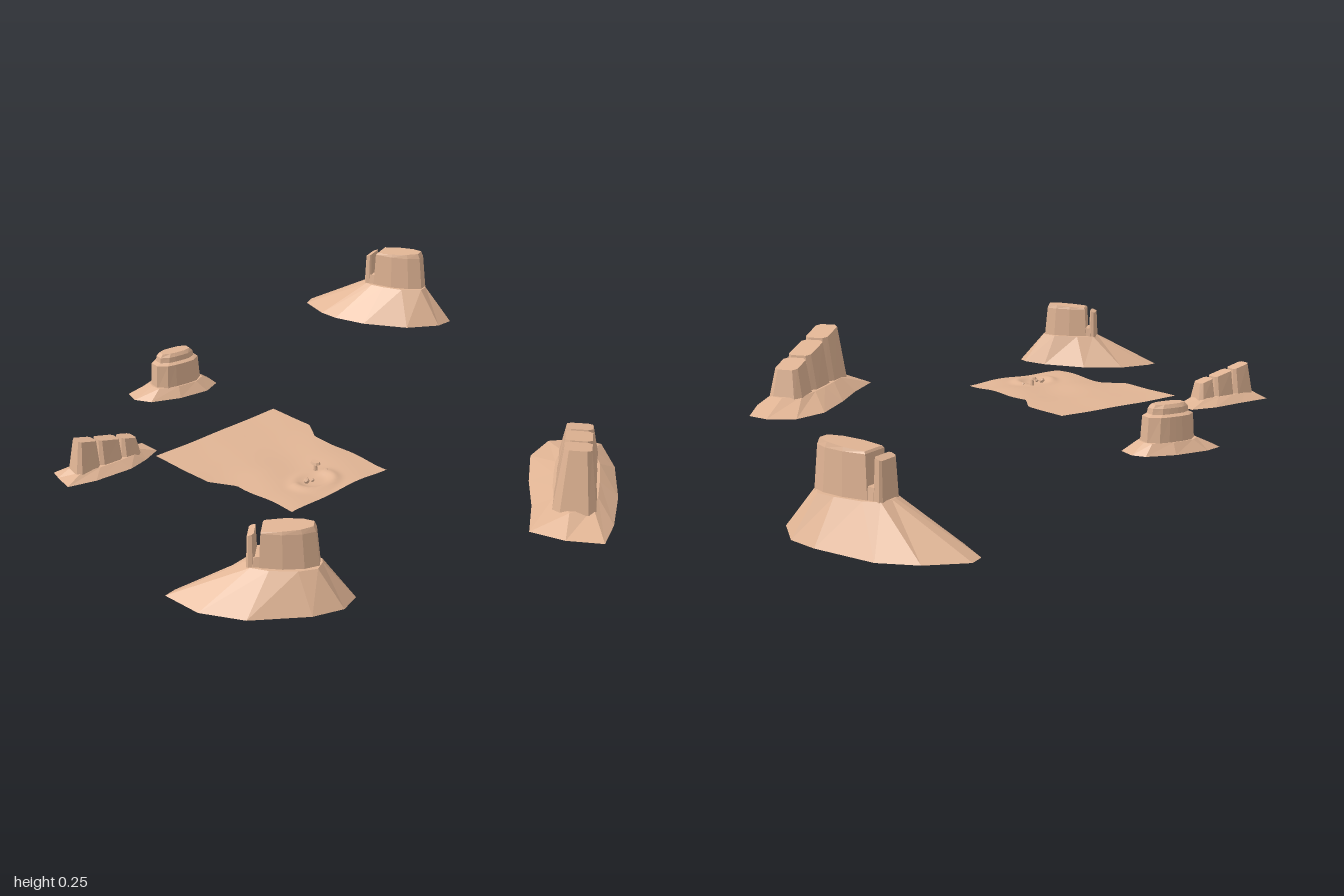
import * as THREE from 'three';

const rock = new THREE.MeshStandardMaterial({ color: 0xe0b494, flatShading: true });
const sand = new THREE.MeshStandardMaterial({ color: 0xe0b494, side: THREE.DoubleSide });

// Closed solid through rings of [x, y, z] points that run from +x towards +z
function loft(name, rings) {
  const pos = [];
  const tri = (a, b, c) => pos.push(...a, ...b, ...c);
  const n = rings[0].length;
  const centre = r => [0, 1, 2].map(k => r.reduce((s, p) => s + p[k], 0) / n);
  const low = centre(rings[0]), top = rings[rings.length - 1], high = centre(top);
  for (let i = 0; i < n; i++) {
    const j = (i + 1) % n;
    for (let k = 0; k + 1 < rings.length; k++) {
      const a = rings[k], b = rings[k + 1];
      tri(a[i], b[i], a[j]);
      tri(a[j], b[i], b[j]);
    }
    tri(low, rings[0][i], rings[0][j]);
    tri(high, top[j], top[i]);
  }
  const g = new THREE.BufferGeometry();
  g.setAttribute('position', new THREE.Float32BufferAttribute(pos, 3));
  g.computeVertexNormals();
  const m = new THREE.Mesh(g, rock);
  m.name = name;
  return m;
}

// Local frame of a butte: u along its ridge, v across, s its scale
function frame(x, z, degrees, s, y0) {
  const c = Math.cos(degrees * Math.PI / 180), d = Math.sin(degrees * Math.PI / 180);
  return {
    at: (u, y, v) => [x + s * (u * c - v * d), y0 + s * y, z + s * (u * d + v * c)],
    angle: ([px, pz]) => Math.atan2(-(px - x) * d + (pz - z) * c, (px - x) * c + (pz - z) * d),
  };
}

// Rounded oblong point at an angle
function oblong(f, t, a, b, y, u0 = 0) {
  const c = Math.cos(t), s = Math.sin(t);
  const r = 1 / Math.pow(Math.abs(c / a) ** 3 + Math.abs(s / b) ** 3, 1 / 3);
  return f.at(u0 + r * c, y, r * s);
}
const oblongRing = (f, n, a, b, y) =>
  Array.from({ length: n }, (_, i) => oblong(f, (i + 0.5) / n * Math.PI * 2, a, b, y));

// Sloping scree from an uneven foot up to an oblong shoulder
function talus(f, outline, a, b, y) {
  const area = outline.reduce((s, p, i) => {
    const q = outline[(i + 1) % outline.length];
    return s + p[0] * q[1] - q[0] * p[1];
  }, 0);
  const foot = area > 0 ? outline : outline.slice().reverse();
  const y0 = f.at(0, 0, 0)[1];
  return loft('screeSlope', [
    foot.map(p => [p[0], y0, p[1]]),
    foot.map(p => oblong(f, f.angle(p), a, b, y)),
  ]);
}

// Chamfered block from u0 to u1, tapering from half width w0 to w1, with a sloping top
function block(f, name, u0, u1, w0, w1, yLow, yA, yB, in0 = 0.01, in1 = 0.01) {
  const ring = (p, q, w, ya, yb) => {
    const c = Math.min(w * 0.35, (q - p) * 0.25);
    const pts = [[q, -w + c], [q, w - c], [q - c, w], [p + c, w],
      [p, w - c], [p, -w + c], [p + c, -w], [q - c, -w]];
    return pts.map(([u, v]) => f.at(u, ya + (yb - ya) * (u - p) / (q - p), v));
  };
  return loft(name, [ring(u0, u1, w0, yLow, yLow), ring(u0 + in0, u1 - in1, w1, yA, yB)]);
}

function group(name, parts) {
  const g = new THREE.Group();
  g.name = name;
  g.add(...parts);
  return g;
}

// Tall butte with a separate narrow pillar behind its tower
function spireButte(name, f, outline) {
  const tower = (y, g, slope) => [[0.1, -0.018], [0.1, 0.018], [0.06, 0.038], [0, 0.046], [-0.066, 0.04],
    [-0.066, -0.04], [0, -0.046], [0.06, -0.038]].map(([u, v]) => f.at(u * g, y + slope * u, v * g));
  return group(name, [
    talus(f, outline, 0.112, 0.058, 0.115),
    loft('tower', [tower(0.1, 1.06, 0), tower(0.225, 0.95, 0), tower(0.235, 0.88, 0.07)]),
    block(f, 'notchFloor', -0.1, -0.05, 0.042, 0.036, 0.1, 0.145, 0.15, 0.004, 0),
    block(f, 'rearPillar', -0.108, -0.08, 0.04, 0.033, 0.1, 0.212, 0.22, 0.005, 0.003),
  ]);
}

// Long butte carrying three blocks of falling height
function ridgeButte(name, f, outline) {
  return group(name, [
    talus(f, outline, 0.215, 0.065, 0.04),
    block(f, 'tallBlock', -0.205, -0.06, 0.06, 0.038, 0.03, 0.208, 0.182, 0.03, 0.006),
    block(f, 'middleBlock', -0.062, 0.082, 0.058, 0.038, 0.03, 0.178, 0.15, 0.012, 0.008),
    block(f, 'lowBlock', 0.08, 0.2, 0.057, 0.038, 0.03, 0.146, 0.124, 0.012, 0.018),
  ]);
}

// Thin sheet of desert floor with a narrower front half and gentle relief
function desertFloor() {
  const n = 48, g = new THREE.PlaneGeometry(1, 1, n, n).rotateX(-Math.PI / 2);
  const p = g.attributes.position;
  const step = (a, b, z) => THREE.MathUtils.clamp((z - a) / (b - a), 0, 1);
  for (let i = 0; i < p.count; i++) {
    const t = p.getX(i) + 0.5, z = -0.208 + (p.getZ(i) + 0.5) * 0.518;
    const left = -0.575 + 0.045 * step(0.02, 0.09, z), right = -0.12 - 0.045 * step(-0.05, 0.02, z);
    const x = left + (right - left) * t;
    const r = Math.hypot((x + 0.36) / 0.06, (z - 0.22) / 0.05);
    const rough = 0.25 + 0.75 * step(-0.05, 0.1, z);
    const y = 0.08 + rough * 0.0025 * (Math.sin(x * 27 + z * 9) + Math.sin(z * 31 - x * 13))
      + 0.009 * Math.exp(-(((r - 1) / 0.3) ** 2)) * (z > 0.2 ? 1 : 0.5);
    p.setXYZ(i, x, y, z);
  }
  g.computeVertexNormals();
  const m = new THREE.Mesh(g, sand);
  m.name = 'desertFloor';
  return m;
}

export function createModel() {
  const model = new THREE.Group();
  model.name = 'desertButtes';

  model.add(spireButte('backLeftButte', frame(0.865, -0.63, 69, 1, 0), [
    [0.75, -0.95], [0.71, -0.93], [0.68, -0.82], [0.68, -0.75], [0.71, -0.64], [0.79, -0.505],
    [0.885, -0.44], [0.945, -0.44], [0.995, -0.55], [0.985, -0.64], [0.93, -0.815], [0.855, -0.895]]));
  model.add(spireButte('frontRightButte', frame(-0.79, 0.56, 48, 0.85, 0.04), [
    [-1, 0.35], [-0.965, 0.345], [-0.86, 0.365], [-0.755, 0.445], [-0.68, 0.57], [-0.66, 0.655],
    [-0.67, 0.69], [-0.73, 0.71], [-0.81, 0.68], [-0.935, 0.58], [-0.995, 0.47]]));
  model.add(ridgeButte('frontRidge', frame(0.2, 0.7, -36, 1, 0.02), [
    [0.395, 0.445], [0.47, 0.5], [0.49, 0.57], [0.395, 0.69], [0.25, 0.81], [0.11, 0.9],
    [0.01, 0.945], [-0.05, 0.86], [-0.08, 0.76], [0.04, 0.67], [0.15, 0.57], [0.28, 0.47]]));
  model.add(ridgeButte('backRidge', frame(-0.695, -0.285, 4, 0.53, 0.065), [
    [-0.825, -0.355], [-0.72, -0.35], [-0.61, -0.35], [-0.53, -0.33], [-0.53, -0.26],
    [-0.59, -0.235], [-0.655, -0.22], [-0.77, -0.23], [-0.85, -0.255], [-0.835, -0.32]]));

  // Low stepped mesa
  const f = frame(-0.188, -0.587, 9, 1, 0.05);
  const steps = [[0.08, 0.046, 0.02], [0.075, 0.041, 0.1], [0.062, 0.03, 0.106], [0.059, 0.028, 0.122], [0.05, 0.021, 0.132]];
  model.add(group('steppedMesa', [
    talus(f, [[-0.32, -0.66], [-0.265, -0.67], [-0.16, -0.655], [-0.08, -0.62], [-0.06, -0.585],
      [-0.07, -0.53], [-0.13, -0.505], [-0.225, -0.52], [-0.31, -0.56], [-0.335, -0.61]], 0.085, 0.05, 0.03),
    loft('mesaTop', steps.map(([a, b, y]) => oblongRing(f, 14, a, b, y))),
  ]));

  model.add(desertFloor());

  // Balanced rock and small boulders on the floor
  const stem = new THREE.Mesh(new THREE.CylinderGeometry(0.004, 0.007, 0.03, 8), rock);
  stem.position.set(-0.315, 0.09, 0.178);
  const cap = new THREE.Mesh(new THREE.CylinderGeometry(0.01, 0.012, 0.007, 8), rock);
  cap.scale.z = 1.4;
  cap.position.set(-0.315, 0.105, 0.178);
  model.add(group('balancedRock', [stem, cap]));
  for (const [x, z, r] of [[-0.38, 0.21, 0.009], [-0.365, 0.218, 0.006], [-0.295, 0.2, 0.006]]) {
    const boulder = new THREE.Mesh(new THREE.IcosahedronGeometry(r, 0), rock);
    boulder.name = 'boulder';
    boulder.position.set(x, 0.083, z);
    model.add(boulder);
  }
  return model;
}
